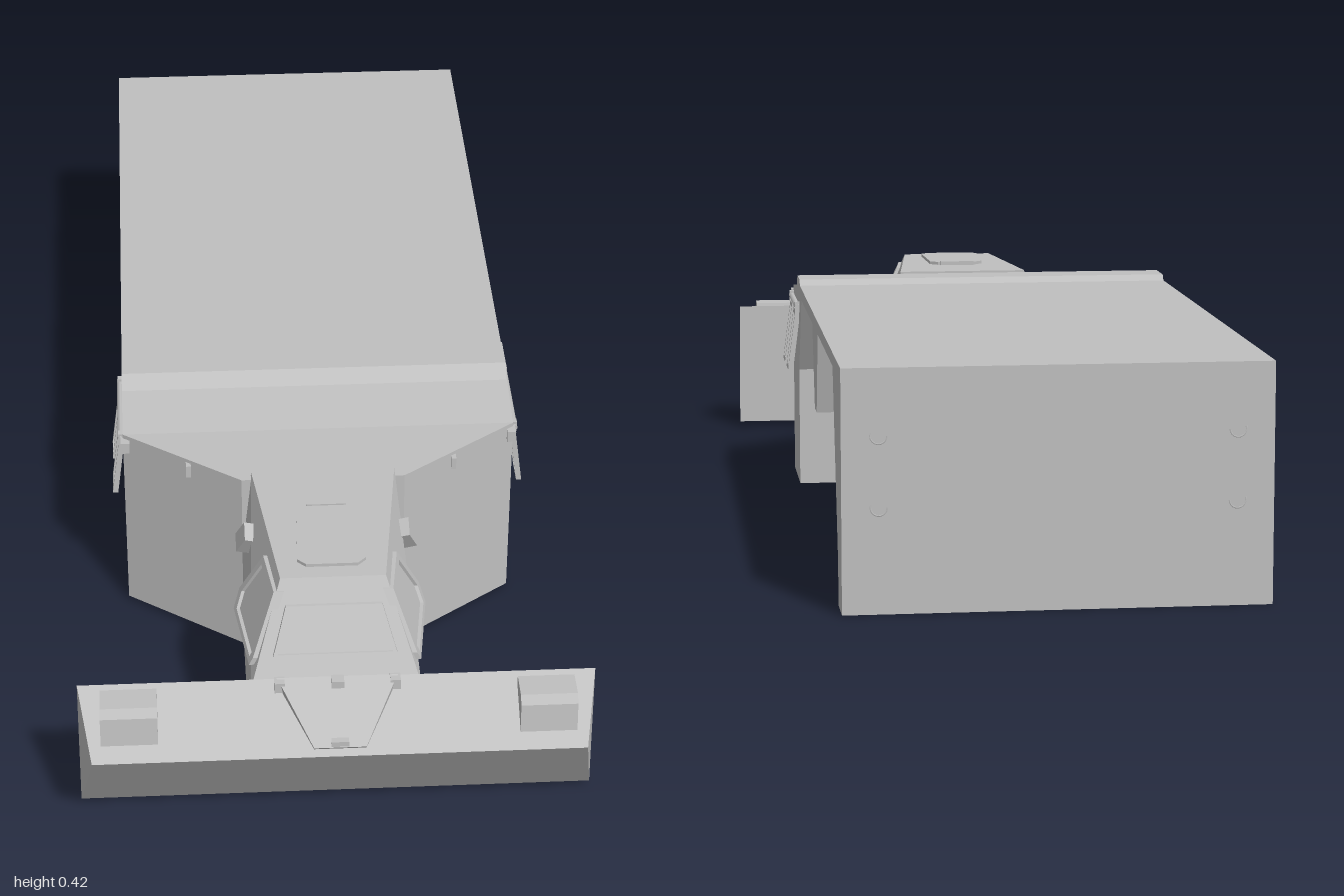
import * as THREE from 'three';
import { ConvexGeometry } from 'three/addons/geometries/ConvexGeometry.js';

const grey = new THREE.MeshStandardMaterial({ color: 0xc0c0c0 });
grey.name = 'plainGrey';

function add(parent, name, geometry) {
  const mesh = new THREE.Mesh(geometry, grey);
  mesh.name = name;
  parent.add(mesh);
  return mesh;
}

function shapeOf(points) {
  return new THREE.Shape(points.map(([a, b]) => new THREE.Vector2(a, b)));
}

// Outline scaled about its middle, used as the opening of a frame.
function frameShape(points, scale) {
  const shape = shapeOf(points);
  const mid = [0, 1].map((i) => points.reduce((s, p) => s + p[i], 0) / points.length);
  const inner = points.map((p) => new THREE.Vector2(...p.map((v, i) => mid[i] + (v - mid[i]) * scale)));
  shape.holes.push(new THREE.Path(inner));
  return shape;
}

// Extrudes a (z, y) outline across x, from -width / 2 to width / 2.
function acrossX(shape, width) {
  const g = new THREE.ExtrudeGeometry(shape, { depth: width, bevelEnabled: false });
  return g.rotateY(-Math.PI / 2).translate(width / 2, 0, 0);
}

// Convex block from points given for +x and repeated on -x.
function symmetric(points) {
  return new ConvexGeometry(points.flatMap(([x, y, z]) =>
    [new THREE.Vector3(x, y, z), new THREE.Vector3(-x, y, z)]));
}

function box(w, h, d, x, y, z) {
  return new THREE.BoxGeometry(w, h, d).translate(x, y, z);
}

function bend(g, rule) {
  const p = g.attributes.position;
  for (let i = 0; i < p.count; i++) p.setXYZ(i, ...rule(p.getX(i), p.getY(i), p.getZ(i)));
  g.computeVertexNormals();
  return g;
}

// Fittings of the left side, also used mirrored for the right.
function sideFittings() {
  const side = new THREE.Group();

  // Side window frame following the sloped cab wall
  const outline = [[0.835, 0.26], [0.835, 0.275], [0.78, 0.375], [0.675, 0.375], [0.655, 0.29], [0.675, 0.26]];
  const wallX = (y, z) => 0.13 - 0.131 * (z - 0.46) - 0.463 * (y - 0.39);
  const onWall = (x, y, z) => [x + wallX(y, z), y, z];
  add(side, 'sideWindowFrame', bend(acrossX(frameShape(outline, 0.84), 0.018), onWall));
  add(side, 'sideWindow', bend(acrossX(shapeOf(outline), 0.006), onWall));

  // Small vision block behind the window
  const block = add(side, 'visionBlock', new THREE.BoxGeometry(0.036, 0.045, 0.036));
  block.position.set(0.138, 0.335, 0.57);
  block.rotation.set(0.45, 0, 0.35);

  // Two-pane folding rack leaning out from the shoulder
  const lean = (x, y, z) => [x + 0.372 - 0.13 * (y - 0.3), y, z];
  for (const z of [0.285, 0.235, 0.175, 0.125])
    add(side, 'rackPost', bend(box(0.01, 0.12, 0.008, 0, 0.30, z), lean));
  for (const y of [0.245, 0.355])
    for (const z of [0.26, 0.15])
      add(side, 'rackRail', bend(box(0.01, 0.008, 0.058, 0, y, z), lean));
  add(side, 'rackTopBar', new THREE.CylinderGeometry(0.006, 0.006, 0.2, 8)
    .rotateX(Math.PI / 2).translate(0.366, 0.368, 0.2));
  for (const z of [0.11, 0.29])
    add(side, 'rackBracket', box(0.014, 0.02, 0.012, 0.364, 0.368, z));

  // Shoulder lamps
  add(side, 'shoulderLamp', box(0.009, 0.024, 0.02, 0.243, 0.368, 0.398));
  add(side, 'cornerLamp', box(0.016, 0.022, 0.022, 0.358, 0.368, 0.318));

  // Lamp housing on the blade
  const lamp = shapeOf([[0.975, 0.197], [0.967, 0.258], [0.955, 0.272], [0.905, 0.272], [0.9, 0.25]]);
  add(side, 'bladeLamp', acrossX(lamp, 0.098).translate(0.36, 0, 0));

  // Rear tie-down loops
  for (const y of [0.30, 0.18])
    add(side, 'tieDownLoop', new THREE.TorusGeometry(0.014, 0.0025, 6, 10, Math.PI * 1.1)
      .rotateZ(Math.PI).translate(0.3, y, -0.998));
  return side;
}

export function createModel() {
  const model = new THREE.Group();
  model.name = 'armouredCarrier';

  // Outer body with wheel arches cut into its side outline
  add(model, 'outerBody', acrossX(shapeOf([
    [-1, 0], [-0.92, 0], [-0.92, 0.07], [-0.82, 0.39], [-0.44, 0.39], [-0.395, 0.24],
    [-0.345, 0.24], [-0.29, 0.39], [0.04, 0.39], [0.13, 0.24], [0.13, 0.01], [0.31, 0.01],
    [0.31, 0.387], [0.19, 0.402], [0.165, 0.424], [0.095, 0.424], [0.085, 0.413], [-1, 0.413],
  ]), 0.724));

  // Narrow hull between the wheel arches
  add(model, 'innerHull', box(0.424, 0.395, 1.15, 0, 0.2025, -0.395));

  // Shoulder flaring from the cab to full width
  add(model, 'shoulder', symmetric([
    [0.362, 0.01, 0.31], [0.148, 0.01, 0.465], [0.362, 0.387, 0.31], [0.148, 0.387, 0.465],
  ]));

  // Cab
  add(model, 'lowerCab', box(0.296, 0.225, 0.44, 0, 0.1225, 0.665));
  add(model, 'upperCab', symmetric([
    [0.148, 0.235, 0.45], [0.148, 0.235, 0.87], [0.13, 0.393, 0.45], [0.092, 0.393, 0.765],
  ]));

  // Windshield with its frame, laid on the sloped cab front
  const glass = [[-0.108, 0.283], [0.108, 0.283], [0.102, 0.3], [0.084, 0.355], [-0.084, 0.355], [-0.102, 0.3]];
  const onFront = (x, y, z) => [x, y, z + 0.868 - (y - 0.235) * 0.665];
  const thin = (shape, depth) => new THREE.ExtrudeGeometry(shape, { depth, bevelEnabled: false });
  add(model, 'windshield', bend(thin(shapeOf(glass), 0.004), onFront));
  add(model, 'windshieldFrame', bend(thin(frameShape(glass, 0.93), 0.008), onFront));

  // Roof hatch and handle
  const hatch = shapeOf([[-0.06, -0.07], [-0.045, -0.085], [0.045, -0.085], [0.06, -0.07],
    [0.055, 0.07], [0.04, 0.085], [-0.04, 0.085], [-0.055, 0.07]]);
  add(model, 'roofHatch', thin(hatch, 0.008).rotateX(-Math.PI / 2).translate(0, 0.391, 0.65));
  add(model, 'hatchHandle', box(0.07, 0.008, 0.008, 0, 0.397, 0.56));

  // Wedge-shaped front blade
  add(model, 'frontBlade', symmetric([
    [0.45, 0.01, 0.885], [0.448, 0.268, 0.885], [0.425, 0.187, 1],
  ]));

  // Hitch plate on the blade
  add(model, 'hitchPlate', symmetric([
    [0.105, 0.262, 0.888], [0.105, 0.276, 0.893], [0.095, 0.25, 0.905], [0.095, 0.268, 0.912],
    [0.045, 0.19, 0.985], [0.045, 0.2, 0.992],
  ]));
  for (const x of [-0.1, 0.1]) add(model, 'hitchHinge', box(0.018, 0.02, 0.02, x, 0.265, 0.898));
  add(model, 'hitchTab', box(0.022, 0.014, 0.02, 0, 0.274, 0.905));
  add(model, 'hitchPin', box(0.03, 0.012, 0.012, 0, 0.205, 0.985));

  // Fittings on both sides
  const left = sideFittings();
  left.name = 'leftFittings';
  const right = sideFittings();
  right.name = 'rightFittings';
  right.scale.x = -1;
  model.add(left, right);
  return model;
}
